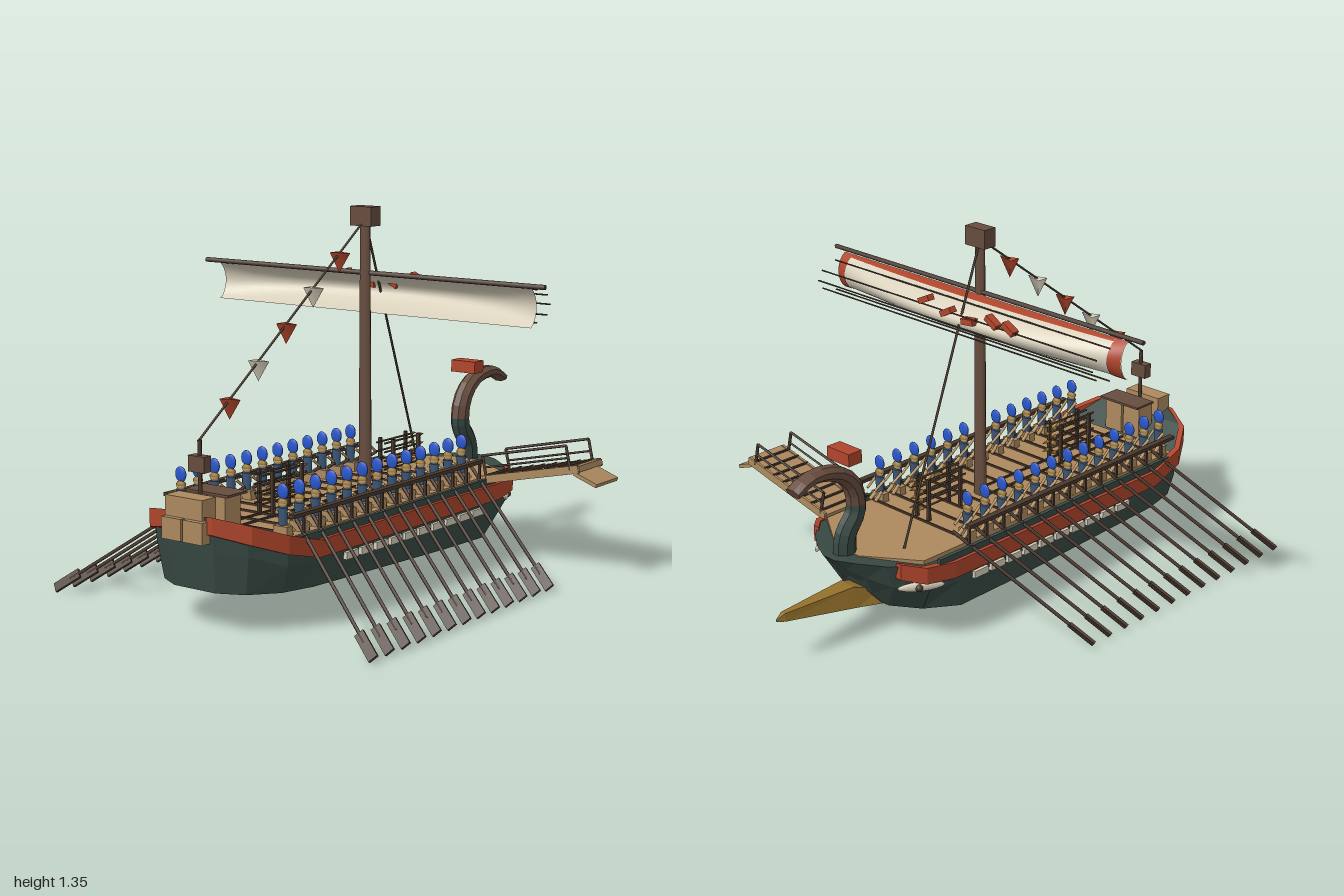
import * as THREE from 'three';

const paint = (name, color) => Object.assign(new THREE.MeshStandardMaterial({ color }), { name });
const M = {
  hull: paint('hull green', 0x384943), deck: paint('deck timber', 0xac895f), red: paint('red paint', 0xb0452c),
  wood: paint('brown timber', 0x664c3e), dark: paint('dark timber', 0x49382d), cream: paint('cream canvas', 0xd9d1bc),
  blue: paint('crest blue', 0x2857cc), gold: paint('bronze', 0x94712c), tunic: paint('tunic blue', 0x3d5878),
  skin: paint('skin', 0xc6a270),
};
M.cream.side = THREE.DoubleSide;
const V = (x, y, z) => new THREE.Vector3(x, y, z);
const UP = V(0, 1, 0);

function add(parent, name, geo, mat, x = 0, y = 0, z = 0) {
  const m = new THREE.Mesh(geo, mat);
  m.name = name;
  m.position.set(x, y, z);
  parent.add(m);
  return m;
}
const box = (p, name, mat, w, h, d, x, y, z) => add(p, name, new THREE.BoxGeometry(w, h, d), mat, x, y, z);

// Round bar between two points
function bar(p, name, mat, a, b, r, r2 = r, sides = 6) {
  const d = b.clone().sub(a);
  const m = add(p, name, new THREE.CylinderGeometry(r2, r, d.length(), sides), mat);
  m.position.copy(a).add(b).multiplyScalar(0.5);
  m.quaternion.setFromUnitVectors(UP, d.normalize());
  return m;
}

// Faceted solid through rings of points ordered +y, +z, -y, -z along +x
function loft(rings) {
  const n = rings[0].length, idx = [];
  rings.forEach((_, i) => {
    if (i === rings.length - 1) return;
    for (let j = 0; j < n; j++) {
      const a = i * n + j, b = i * n + (j + 1) % n;
      idx.push(a, b, a + n, b, b + n, a + n);
    }
  });
  const e = (rings.length - 1) * n;
  for (let j = 1; j < n - 1; j++) idx.push(0, j + 1, j, e, e + j, e + j + 1);
  const g = new THREE.BufferGeometry();
  g.setAttribute('position', new THREE.Float32BufferAttribute(rings.flat(2), 3));
  g.setIndex(idx);
  const flat = g.toNonIndexed();
  flat.computeVertexNormals();
  return flat;
}

function buildHull(ship) {
  // top x, y, half width, then bottom x, y, half width
  const stations = [
    [-0.97, 0.40, 0.10, -0.94, 0.14, 0.09], [-0.91, 0.38, 0.20, -0.89, 0.138, 0.18],
    [-0.79, 0.305, 0.275, -0.79, 0.135, 0.25], [-0.65, 0.295, 0.285, -0.65, 0.13, 0.275],
    [0.10, 0.295, 0.285, 0.10, 0.105, 0.28], [0.42, 0.295, 0.285, 0.38, 0.095, 0.27],
    [0.56, 0.305, 0.27, 0.50, 0.10, 0.20], [0.66, 0.315, 0.18, 0.58, 0.11, 0.11],
    [0.72, 0.32, 0.10, 0.62, 0.16, 0.07], [0.755, 0.32, 0.03, 0.64, 0.20, 0.03]];
  add(ship, 'hull', loft(stations.map(([x, y, w, u, v, b]) => {
    const mx = x + (u - x) * 0.45, my = y + (v - y) * 0.45, mw = Math.max(w, b) * 1.01;
    return [[x, y, -w], [x, y, w], [mx, my, mw], [u, v, b], [u, v, -b], [mx, my, -mw]];
  })), M.hull);

  const s = new THREE.Shape([[-0.79, -0.26], [0.54, -0.25], [0.67, -0.06], [0.67, 0.06], [0.54, 0.25], [-0.79, 0.26]]
    .map(([x, z]) => new THREE.Vector2(x, z)));
  add(ship, 'deck', new THREE.ExtrudeGeometry(s, { depth: 0.02, bevelEnabled: false }).rotateX(-Math.PI / 2),
    M.deck, 0, 0.299, 0);

  // Wale: x, z, top y, bottom y
  const wale = [[-0.975, 0.11, 0.405, 0.345], [-0.91, 0.225, 0.38, 0.315], [-0.80, 0.292, 0.338, 0.273],
    [-0.65, 0.306, 0.296, 0.235], [0.44, 0.306, 0.298, 0.236], [0.56, 0.287, 0.31, 0.248], [0.625, 0.225, 0.325, 0.265]];
  for (const k of [1, -1]) {
    add(ship, 'wale', loft(wale.map(([x, z, t, b]) => {
      const r = [[x, t, k * (z - 0.025)], [x, t, k * z], [x, b, k * z], [x, b, k * (z - 0.025)]];
      return k > 0 ? r : r.reverse();
    })), M.red);
    box(ship, 'gunwale', M.hull, 1.26, 0.032, 0.016, -0.13, 0.306, k * 0.284);
    for (let i = 0; i < 10; i++) box(ship, 'paleDash', M.cream, 0.07, 0.026, 0.02, -0.465 + i * 0.0855, 0.208, k * 0.29);
    const eye = add(ship, 'eye', new THREE.SphereGeometry(1, 14, 8), M.cream, 0.56, 0.23, k * 0.256);
    eye.scale.set(0.085, 0.018, 0.011);
    eye.rotation.y = k * 0.55;
    add(ship, 'pupil', new THREE.SphereGeometry(0.015, 10, 6), M.dark, 0.57, 0.228, k * 0.256);
  }

  // Ram: x, top y, bottom y, top half width, bottom half width
  add(ship, 'ram', loft([[0.56, 0.15, 0.10, 0.05, 0.075], [0.675, 0.19, 0.117, 0.035, 0.055],
    [0.97, 0.188, 0.16, 0.01, 0.015], [1.0, 0.172, 0.165, 0.002, 0.003]].map(([x, t, b, w, u]) =>
    [[x, t, -w], [x, t, w], [x, b, u], [x, b + (t - b) * 0.15, 0], [x, b, -u]])), M.gold);
}

// Curled stem: tapering sections swept along a curve
function buildStem(ship) {
  const curve = new THREE.CatmullRomCurve3([[0.68, 0.29], [0.675, 0.38], [0.625, 0.46], [0.635, 0.55],
    [0.69, 0.615], [0.78, 0.645], [0.85, 0.64], [0.905, 0.612]].map(([x, y]) => V(x, y, 0)));
  const piece = (name, mat, t0, t1) => {
    const rings = [];
    for (let i = 0; i <= 9; i++) {
      const t = t0 + (t1 - t0) * i / 9, p = curve.getPointAt(t), d = curve.getTangentAt(t);
      const r = 0.048 - 0.028 * t, ring = [];
      for (let j = 0; j < 8; j++) {
        const a = j / 8 * Math.PI * 2 + Math.PI / 8, c = Math.cos(a) * r;
        ring.push([p.x - d.y * c, p.y + d.x * c, Math.sin(a) * 0.036]);
      }
      rings.push(ring);
    }
    add(ship, name, loft(rings), mat);
  };
  piece('stemBase', M.hull, 0, 0.36);
  piece('stemCurl', M.wood, 0.36, 1);
  box(ship, 'stemBlock', M.red, 0.06, 0.046, 0.11, 0.67, 0.685, 0);
}

function buildRig(ship) {
  bar(ship, 'mast', M.wood, V(0.005, 0.3, 0), V(0.005, 1.3, 0), 0.016, 0.012, 10).scale.z = 1.8;
  box(ship, 'mastHead', M.wood, 0.055, 0.07, 0.095, 0.005, 1.315, 0);
  bar(ship, 'yard', M.dark, V(0.008, 1.11, -0.76), V(0.008, 1.11, 0.76), 0.009);

  // Billowing cream sail with red borders laid on its forward face
  const bulge = (z, v) => 0.015 + (0.035 + 0.1 * (1 - (z / 0.7) ** 2)) * Math.max(0, Math.sin(Math.PI * v)) ** 0.65;
  const patch = (name, mat, z0, z1, v0, v1, lift = 0.004) => {
    const g = new THREE.PlaneGeometry(1, 1, 24, 12), p = g.attributes.position;
    for (let i = 0; i < p.count; i++) {
      const z = z0 + (z1 - z0) * (0.5 - p.getX(i)), v = v0 + (v1 - v0) * (p.getY(i) + 0.5);
      p.setXYZ(i, bulge(z, v) + lift, 0.965 + 0.137 * v, z);
    }
    g.computeVertexNormals();
    add(ship, name, g, mat);
  };
  patch('sail', M.cream, -0.7, 0.7, 0, 1, 0);
  patch('sailTopBorder', M.red, -0.65, 0.65, 0.95, 1);
  patch('sailEndBorder', M.red, -0.7, -0.65, 0, 1);
  patch('sailEndBorder', M.red, 0.65, 0.7, 0, 1);
  for (const [x, y] of [[0.085, 1.09], [0.152, 1.065], [0.172, 1.03], [0.152, 0.995], [0.085, 0.975]])
    bar(ship, 'sailBatten', M.dark, V(x, y, -0.68), V(x, y, 0.68), 0.003, 0.003, 5);
  [[0.13, 1.085, 0.45], [0.02, 1.065, 0.5], [-0.085, 1.053, 0.1], [-0.2, 1.08, -0.55], [-0.28, 1.075, -0.5]]
    .forEach(([z, y, a]) => { box(ship, 'sailPatch', M.red, 0.03, 0.022, 0.056, 0.148, y, z).rotation.x = a; });

  // Stays and pennants
  bar(ship, 'backstay', M.dark, V(0, 1.3, 0), V(-0.905, 0.64, 0), 0.004);
  bar(ship, 'forestay', M.dark, V(0.01, 1.29, 0), V(0.52, 0.315, -0.13), 0.0045);
  for (let i = 0; i < 5; i++) {
    const x = -0.148 - i * 0.151, y = 1.3 + x * 0.66 / 0.905;
    const f = add(ship, 'pennant', new THREE.ConeGeometry(0.027, 0.072, 3).rotateZ(Math.PI),
      i % 2 ? M.cream : M.red, x, y - 0.032, 0);
    f.scale.z = 1.8;
  }
}

function buildStern(ship) {
  bar(ship, 'sternPole', M.dark, V(-0.905, 0.36, 0), V(-0.905, 0.64, 0), 0.008);
  box(ship, 'sternLantern', M.wood, 0.036, 0.055, 0.07, -0.907, 0.56, 0);
  for (const [x, y, z] of [[-0.965, 0.35, 0.047], [-0.965, 0.35, -0.047], [-0.945, 0.42, -0.047], [-0.945, 0.42, 0.03]])
    box(ship, 'crate', M.deck, 0.07, 0.075, 0.085, x, y, z);
  for (const z of [0.045, -0.045]) {
    box(ship, 'chest', M.deck, 0.08, 0.13, 0.08, -0.84, 0.385, z);
    box(ship, 'chestLid', M.wood, 0.1, 0.008, 0.1, -0.825, 0.454, z);
  }
}

function buildCrew(ship) {
  const crest = new THREE.SphereGeometry(1, 10, 8).scale(0.007, 0.028, 0.025);
  const head = new THREE.SphereGeometry(0.013, 8, 6).scale(1, 1.1, 1.4);
  const helmet = new THREE.SphereGeometry(0.015, 8, 4, 0, Math.PI * 2, 0, Math.PI / 2).scale(1, 1.1, 1.4);
  const torso = new THREE.CylinderGeometry(0.016, 0.013, 0.06, 6).scale(1, 1, 1.4);
  const blade = new THREE.BoxGeometry(0.036, 0.11, 0.01);
  for (let i = 0; i < 13; i++) {
    const x = -0.75 + i * 0.0875;
    box(ship, 'deckBeam', M.dark, 0.007, 0.012, 0.5, x + 0.02, 0.32, 0);
    for (const k of [1, -1]) {
      const rower = new THREE.Group();
      rower.name = 'rower';
      rower.position.set(x, 0.3, k * 0.225);
      box(rower, 'bench', M.deck, 0.03, 0.035, 0.06, 0, 0.035, 0);
      add(rower, 'torso', torso, M.tunic, 0, 0.085, 0);
      add(rower, 'head', head, M.skin, 0, 0.127, 0);
      add(rower, 'helmet', helmet, M.gold, 0, 0.13, 0);
      add(rower, 'crest', crest, M.blue, 0, 0.168, 0);
      for (const j of [1, -1]) {
        bar(rower, 'arm', M.skin, V(0, 0.105, j * 0.024), V(0.045, 0.075, j * 0.02), 0.006, 0.005, 5);
        bar(rower, 'leg', M.skin, V(0.005, 0.055, j * 0.012), V(0.04, 0.03, j * 0.014), 0.008, 0.007, 5);
      }
      ship.add(rower);

      // Oar with a flat blade set on edge, and a rail post
      const a = V(x + 0.04, 0.315, k * 0.29), d = V(-0.18, -0.295, k * 0.41);
      bar(ship, 'oar', M.dark, a.clone().addScaledVector(d, -0.17), a.clone().addScaledVector(d, 0.88), 0.0065);
      const b = add(ship, 'oarBlade', blade, M.dark);
      const long = d.clone().normalize(), wide = V(-0.336, -0.55, -k * 0.543).normalize();
      b.position.copy(a).addScaledVector(d, 0.905);
      b.quaternion.setFromRotationMatrix(new THREE.Matrix4().makeBasis(wide, long, wide.clone().cross(long)));
      box(ship, 'railPost', M.dark, 0.008, 0.09, 0.01, x + 0.045, 0.345, k * 0.277);
    }
  }
  for (const k of [1, -1]) {
    box(ship, 'topRail', M.dark, 1.12, 0.013, 0.024, -0.21, 0.393, k * 0.277);
    box(ship, 'gangboardEdge', M.dark, 0.76, 0.008, 0.007, -0.39, 0.322, k * 0.03);
  }
  // Spear racks
  for (const x of [-0.485, 0.22]) {
    for (const e of [-0.08, 0.08]) for (const z of [-0.03, 0.03])
      box(ship, 'rackPost', M.dark, 0.012, 0.17, 0.012, x + e, 0.395, z);
    for (let i = 0; i < 4; i++) for (const z of [-0.018, 0.018]) {
      const y = 0.37 + i * 0.033;
      bar(ship, 'spear', M.dark, V(x - 0.12, y, z), V(x + 0.1, y, z), 0.004, 0.004, 5);
      bar(ship, 'spearTip', M.gold, V(x + 0.1, y, z), V(x + 0.13, y, z), 0.008, 0.001, 5);
    }
  }
}

function buildGangway(ship) {
  const g = new THREE.Group();
  g.name = 'gangway';
  g.position.set(0.455, 0.315, 0.26);
  g.rotation.x = -0.22;
  box(g, 'ramp', M.deck, 0.165, 0.022, 0.44, 0, 0, 0.22);
  for (let i = 0; i < 8; i++) box(g, 'cleat', M.dark, 0.165, 0.008, 0.007, 0, 0.014, 0.03 + i * 0.053);
  for (const x of [-0.08, 0.08]) {
    box(g, 'rampEdge', M.deck, 0.01, 0.03, 0.43, x, 0, 0.22);
    for (const z of [0.03, 0.4]) bar(g, 'handrailPost', M.dark, V(x, 0, z), V(x, 0.09, z), 0.006);
    bar(g, 'handrail', M.dark, V(x, 0.09, 0.03), V(x, 0.09, 0.4), 0.005);
    bar(g, 'handrail', M.dark, V(x, 0.045, 0.03), V(x, 0.045, 0.4), 0.004);
  }
  ship.add(g);
  box(ship, 'rampFlap', M.deck, 0.155, 0.014, 0.1, 0.447, 0.375, 0.715).rotation.x = 0.35;
}

export function createModel() {
  const ship = new THREE.Group();
  ship.name = 'oaredGalley';
  [buildHull, buildStem, buildRig, buildStern, buildCrew, buildGangway].forEach((build) => build(ship));
  return ship;
}
